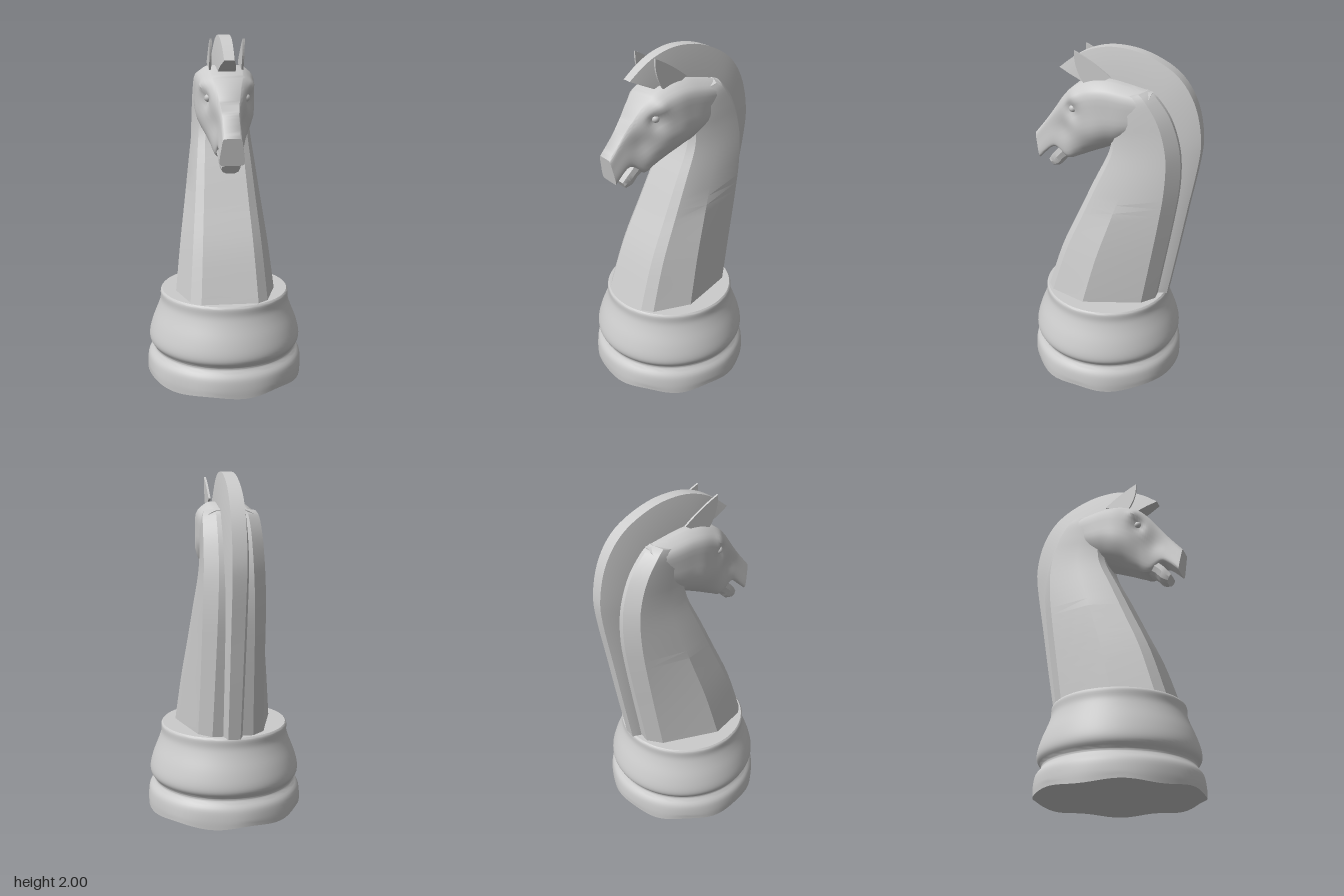
import * as THREE from 'three';
import { toCreasedNormals } from 'three/addons/utils/BufferGeometryUtils.js';

const material = new THREE.MeshStandardMaterial({ color: 0xcccccc, side: THREE.DoubleSide });

// Catmull-Rom resampling of rows of numbers, n steps per span
function smooth(rows, n) {
  const at = (i) => rows[Math.min(Math.max(i, 0), rows.length - 1)];
  const out = [];
  for (let i = 0; i < rows.length - 1; i++) {
    for (let s = 0; s < n; s++) {
      const t = s / n;
      out.push(rows[i].map((b, k) => {
        const a = at(i - 1)[k], c = at(i + 1)[k], d = at(i + 2)[k];
        return b + 0.5 * t * (c - a + t * (2 * a - 5 * b + 4 * c - d + t * (3 * (b - c) + d - a)));
      }));
    }
  }
  out.push(rows[rows.length - 1]);
  return out;
}

// Mirrored loft. Section: [zA, yA, zB, yB, halfWidth, blend];
// profile: [t from A to B, width factor], blended between p0 and p1.
function loft(sections, p0, p1 = p0, crease = 0.5, deform = null) {
  const n = p0.length * 2, pos = [], idx = [];
  const half = p0.length;
  for (const [za, ya, zb, yb, w, k = 0] of sections) {
    for (let j = 0; j < n; j++) {
      const m = j < half ? j : n - 1 - j;
      const t = THREE.MathUtils.lerp(p0[m][0], p1[m][0], k);
      const f = THREE.MathUtils.lerp(p0[m][1], p1[m][1], k);
      const v = new THREE.Vector3((j < half ? 1 : -1) * w * f, ya + (yb - ya) * t, za + (zb - za) * t);
      if (deform) deform(v);
      pos.push(v.x, v.y, v.z);
    }
  }
  const last = sections.length - 1;
  for (let i = 0; i < last; i++) {
    for (let j = 0; j < n; j++) {
      const a = i * n + j, b = i * n + (j + 1) % n;
      idx.push(a, b, b + n, a, b + n, a + n);
    }
  }
  // end caps
  for (const i of [0, last]) {
    const [za, ya, zb, yb] = sections[i];
    const c = pos.length / 3;
    pos.push(0, (ya + yb) / 2, (za + zb) / 2);
    for (let j = 0; j < n; j++) {
      const a = i * n + j, b = i * n + (j + 1) % n;
      if (i === 0) idx.push(c, b, a);
      else idx.push(c, a, b);
    }
  }
  const g = new THREE.BufferGeometry();
  g.setAttribute('position', new THREE.Float32BufferAttribute(pos, 3));
  g.setIndex(idx);
  return toCreasedNormals(g, crease);
}

export function createModel() {
  const group = new THREE.Group();
  const add = (name, geometry) => {
    const mesh = new THREE.Mesh(geometry, material);
    mesh.name = name;
    group.add(mesh);
    return mesh;
  };

  // Turned base with a slightly uneven foot
  const rim = smooth([
    [0.47, 0.005], [0.47, 0.06], [0.46, 0.12], [0.432, 0.16], [0.43, 0.18], [0.452, 0.215],
    [0.452, 0.26], [0.432, 0.33], [0.4, 0.41], [0.385, 0.46], [0.384, 0.505], [0.375, 0.52],
  ], 4);
  const profile = [[0, 0.005], ...rim, [0, 0.52]].map(([r, y]) => new THREE.Vector2(r, y));
  const baseGeo = new THREE.LatheGeometry(profile, 72);
  const bp = baseGeo.attributes.position;
  for (let i = 0; i < bp.count; i++) {
    const x = bp.getX(i), y = bp.getY(i), z = bp.getZ(i);
    const a = Math.atan2(z, x);
    const low = Math.max(0, 1 - y / 0.13) * (Math.hypot(x, z) > 0.1 ? 1 : 0);
    const s = 1 - 0.012 * low * (0.5 + 0.5 * Math.sin(9 * a));
    bp.setXYZ(i, x * s, y + 0.008 * low * (1 + Math.sin(7 * a + 1)) * (y < 0.03 ? 1 : 0), z * s);
  }
  add('base', toCreasedNormals(baseGeo, 0.6)).position.z = 0.04;

  // Neck: six-sided at the foot, rounder toward the nape
  const neckLow = [[0, 0.55], [0.07, 0.75], [0.4, 1], [0.9, 0.65], [1, 0.4]];
  const neckHigh = [[0, 0.6], [0.07, 0.82], [0.38, 1], [0.84, 0.98], [1, 0.55]];
  const neck = [
    [0.375, 0.5, -0.295, 0.5, 0.296, 0],
    [0.28, 0.8, -0.345, 0.8, 0.262, 0.15],
    [0.17, 1.05, -0.385, 1.05, 0.228, 0.4],
    [0.08, 1.25, -0.41, 1.25, 0.202, 0.65],
    [0, 1.42, -0.41, 1.42, 0.179, 0.9],
    [-0.02, 1.52, -0.385, 1.55, 0.169, 1],
    [-0.02, 1.6, -0.335, 1.67, 0.166, 1],
    [-0.02, 1.69, -0.26, 1.765, 0.16, 1],
    [-0.02, 1.75, -0.21, 1.795, 0.145, 1],
  ];
  add('neck', loft(smooth(neck, 4), neckLow, neckHigh, 0.45));

  // Head, from the nose back to the poll, with hollows round the eyes
  const skull = smooth([[0, 0.55], [0.05, 0.75], [0.16, 0.97], [0.4, 1], [0.65, 0.97], [0.88, 0.7], [1, 0.3]], 3);
  const muzzle = smooth([[0, 0.65], [0.05, 0.75], [0.15, 0.82], [0.4, 0.9], [0.7, 1], [0.92, 1], [1, 0.85]], 3);
  const head = [
    [0.467, 1.465, 0.44, 1.32, 0.066, 1],
    [0.39, 1.56, 0.345, 1.4, 0.067, 1],
    [0.33, 1.64, 0.26, 1.345, 0.084, 0.8],
    [0.27, 1.72, 0.19, 1.365, 0.115, 0.35],
    [0.2, 1.785, 0.12, 1.395, 0.147, 0.1],
    [0.1, 1.825, 0.06, 1.42, 0.164, 0],
    [0, 1.832, 0, 1.445, 0.168, 0],
    [-0.12, 1.812, -0.05, 1.46, 0.167, 0],
    [-0.24, 1.785, -0.14, 1.5, 0.155, 0],
  ];
  const bump = (v, y, z, r) => Math.exp(-((v.y - y) ** 2 + (v.z - z) ** 2) / (r * r));
  const carve = (v) => {
    const d = 0.012 * bump(v, 1.73, 0.19, 0.035) - 0.028 * bump(v, 1.65, 0.21, 0.04)
      - 0.012 * bump(v, 1.52, 0.27, 0.06) + 0.008 * bump(v, 1.52, 0.06, 0.08);
    v.x += Math.sign(v.x) * d;
  };
  add('head', loft(smooth(head, 6), skull, muzzle, 0.7, carve));

  // Lower jaw
  const jaw = [
    [0.388, 1.31, 0.36, 1.266, 0.05],
    [0.36, 1.35, 0.32, 1.28, 0.062],
    [0.322, 1.39, 0.28, 1.325, 0.067],
    [0.26, 1.45, 0.2, 1.37, 0.075],
  ];
  add('lowerJaw', loft(smooth(jaw, 4), [[0, 0.9], [0.4, 1], [0.8, 0.85], [1, 0.5]]));

  // Mane: a wedge that is narrow along its crest
  const mane = [
    [0.31, 1.862, 0.17, 1.8, 0.05],
    [0.22, 1.93, 0.12, 1.79, 0.054],
    [0.12, 1.978, 0.06, 1.79, 0.058],
    [0, 2, -0.02, 1.79, 0.06],
    [-0.15, 1.983, -0.1, 1.78, 0.062],
    [-0.3, 1.92, -0.19, 1.74, 0.066],
    [-0.4, 1.835, -0.26, 1.68, 0.07],
    [-0.47, 1.71, -0.32, 1.61, 0.07],
    [-0.505, 1.55, -0.36, 1.51, 0.07],
    [-0.5, 1.4, -0.375, 1.39, 0.068],
    [-0.45, 1.1, -0.355, 1.1, 0.066],
    [-0.4, 0.8, -0.31, 0.8, 0.064],
    [-0.35, 0.515, -0.265, 0.515, 0.062],
  ];
  add('mane', loft(smooth(mane, 4), [[0, 0.56], [0.45, 0.85], [1, 1]], undefined, 0.3));

  // Thin leaf-shaped ears and small eyes
  const leaf = new THREE.Shape();
  leaf.moveTo(-0.01, 1.85);
  leaf.quadraticCurveTo(0.09, 1.93, 0.195, 1.978);
  leaf.quadraticCurveTo(0.2, 1.88, 0.14, 1.8);
  leaf.lineTo(0.05, 1.815);
  leaf.closePath();
  const earGeo = new THREE.ExtrudeGeometry(leaf, { depth: 0.012, bevelEnabled: false, curveSegments: 10 });
  earGeo.rotateY(-Math.PI / 2);
  for (const side of [1, -1]) {
    const name = side > 0 ? 'left' : 'right';
    add(name + 'Ear', earGeo).position.x = side * 0.09 + 0.006;
    const eye = add(name + 'Eye', new THREE.SphereGeometry(0.022, 16, 12));
    eye.position.set(side * 0.105, 1.66, 0.205);
  }
  return group;
}
